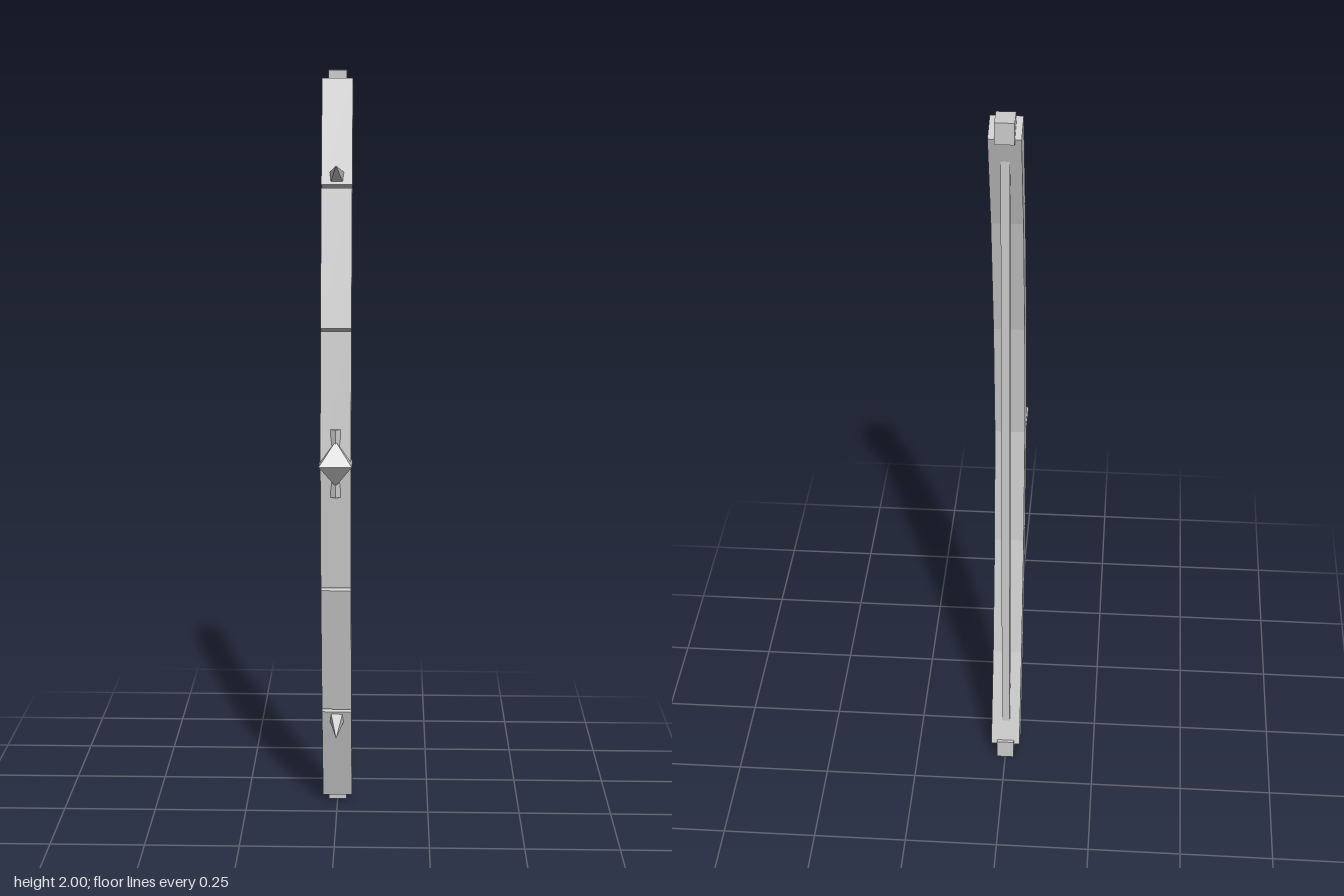
import * as THREE from 'three';

const gray = new THREE.MeshStandardMaterial({ color: 0xcccccc, flatShading: true });
gray.name = 'plain gray';

function add(parent, name, geometry, x = 0, y = 0, z = 0) {
  const mesh = new THREE.Mesh(geometry, gray);
  mesh.name = name;
  mesh.position.set(x, y, z);
  parent.add(mesh);
  return mesh;
}

// Extrudes a (z, y) outline across x, centred on x = 0
function sideExtrude(points, width) {
  const shape = new THREE.Shape(points.map(([z, y]) => new THREE.Vector2(z, y)));
  const geo = new THREE.ExtrudeGeometry(shape, { depth: width, bevelEnabled: false });
  return geo.translate(0, 0, -width / 2).rotateY(-Math.PI / 2);
}

// Four-sided thorn from a rectangular base to a point; sign mirrors it up or down
function thornGeometry(sign) {
  const w = 0.02;
  const base = [[-w, 0.705, -0.02], [w, 0.705, -0.02], [w, 0.742, -0.012], [-w, 0.742, -0.012]];
  const corners = base.map(([x, y, z]) => [x, 1 + sign * y, z]);
  const tip = [0, 1 + sign * 0.765, 0.07];
  const out = [];
  for (let i = 0; i < 4; i++) {
    const a = corners[i], b = corners[(i + 1) % 4];
    out.push(...(sign > 0 ? [a, b, tip] : [b, a, tip]).flat());
  }
  const geo = new THREE.BufferGeometry();
  geo.setAttribute('position', new THREE.Float32BufferAttribute(out, 3));
  geo.computeVertexNormals();
  return geo;
}

export function createModel() {
  const bow = new THREE.Group();
  bow.name = 'bow';

  // Curved stave: upper half of the outline, with narrow notches at the joints
  const front = [
    [0.113, 1.0],
    [0.08, 1.342], [0.05, 1.337], [0.079, 1.35],
    [0.006, 1.704], [-0.018, 1.699], [0.004, 1.712],
    [-0.074, 1.98],
  ];
  const back = [[-0.15, 1.955], [-0.063, 1.685], [0.006, 1.34], [0.037, 1.0]];
  const upper = [...front, ...back];
  const lower = upper.slice(1, -1).reverse().map(([z, y]) => [z, 2 - y]);
  add(bow, 'stave', sideExtrude([...upper, ...lower], 0.08));

  // String behind the stave
  add(bow, 'string', new THREE.BoxGeometry(0.022, 1.92, 0.022), 0, 1, -0.117);

  // Tips and thorns, mirrored above and below the grip
  for (const sign of [1, -1]) {
    const side = sign > 0 ? 'upper' : 'lower';
    add(bow, side + 'Tip', new THREE.BoxGeometry(0.048, 0.056, 0.061), 0, 1 + sign * 0.972, -0.125);
    add(bow, side + 'Thorn', thornGeometry(sign));
  }

  // Faceted gem on the grip: two square pyramids base to base
  const gem = new THREE.Group();
  gem.name = 'gem';
  gem.position.set(0, 1, 0.111);
  bow.add(gem);
  for (const sign of [1, -1]) {
    const cone = new THREE.ConeGeometry(0.043 * Math.SQRT2, 0.06, 4, 1, true).rotateY(Math.PI / 4);
    const half = add(gem, sign > 0 ? 'gemTop' : 'gemBottom', cone, 0, sign * 0.03, 0);
    if (sign < 0) half.rotation.x = Math.PI;
  }

  // Slim three-sided spine running behind the gem
  const spine = new THREE.Shape([
    new THREE.Vector2(-0.013, 0.005), new THREE.Vector2(0, -0.005), new THREE.Vector2(0.013, 0.005),
  ]);
  const spineGeo = new THREE.ExtrudeGeometry(spine, { depth: 0.18, bevelEnabled: false });
  spineGeo.translate(0, 0, -0.09).rotateX(-Math.PI / 2);
  add(bow, 'gemSpine', spineGeo, 0, 1, 0.111).rotation.y = 0;

  return bow;
}
